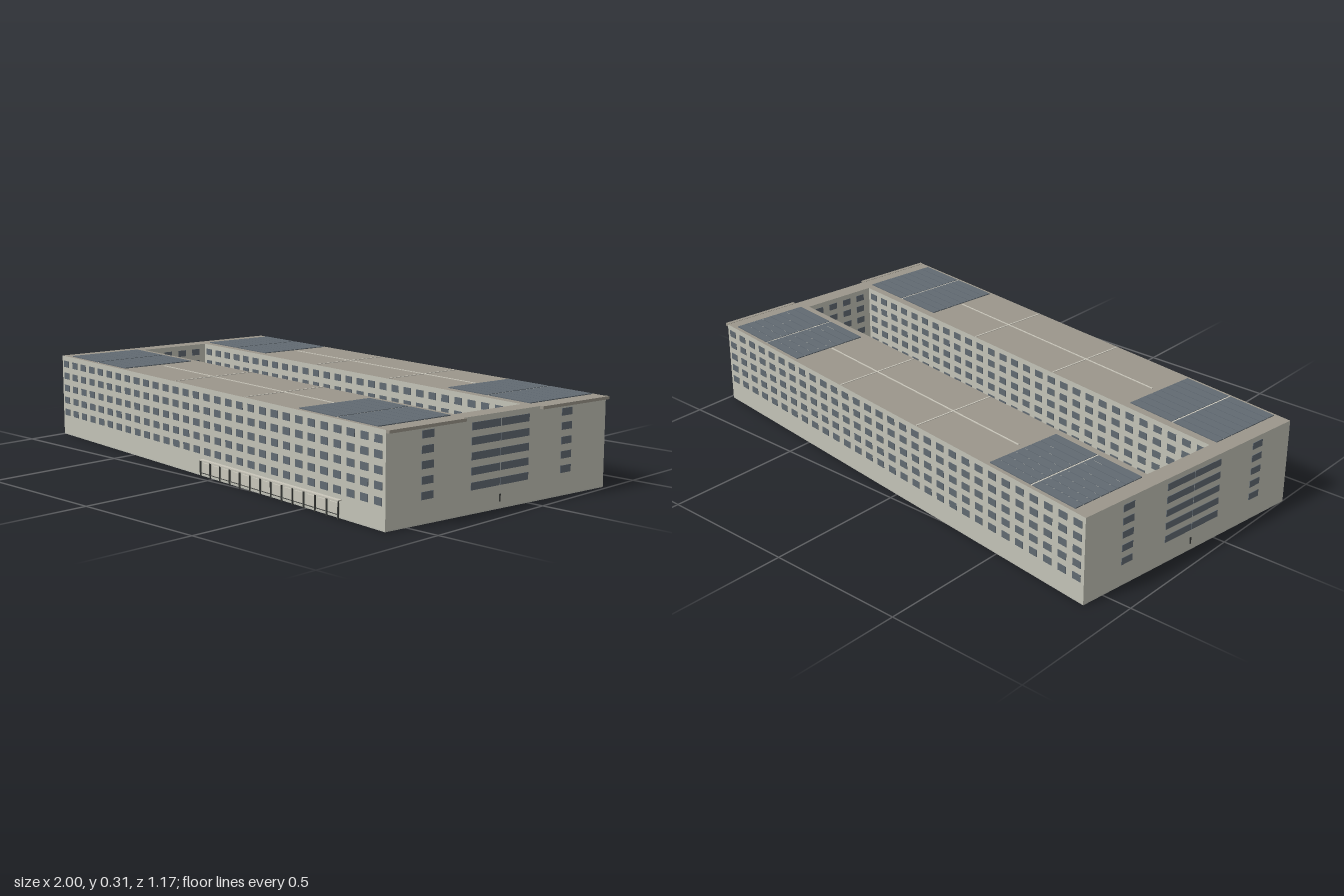
import * as THREE from 'three';
import { mergeGeometries } from 'three/addons/utils/BufferGeometryUtils.js';

const mat = (name, color) => {
  const m = new THREE.MeshStandardMaterial({ color });
  m.name = name;
  return m;
};

// Box given by its centre and size
const box = (x, y, z, w, h, d) => new THREE.BoxGeometry(w, h, d).translate(x, y, z);

export function createModel() {
  const wall = mat('wall', 0xc3c3b7);
  const roof = mat('roof', 0x9b968b);
  const glass = mat('glass', 0x616a72);
  const paving = mat('paving', 0xbcbdb3);
  const lawn = mat('lawn', 0x587d57);
  const leaf = mat('leaf', 0x4d6b4b);
  const trunk = mat('trunk', 0x5a4a3a);
  const dark = mat('dark metal', 0x3c3e3c);
  const trim = mat('light trim', 0xc9c6ba);

  const model = new THREE.Group();
  const site = new THREE.Group();
  site.name = 'officeBlock';
  site.rotation.y = -0.1247;
  site.position.x = -0.008;
  model.add(site);

  const add = (name, parts, material) => {
    const mesh = new THREE.Mesh(Array.isArray(parts) ? mergeGeometries(parts) : parts, material);
    mesh.name = name;
    site.add(mesh);
  };

  const U = 0.942, V = 0.468;      // half length and half depth of the block
  const CU = 0.88, CV = 0.143;     // half size of the courtyard
  const BASE = 0.004, TOP = 0.302;

  // Ring of walls around the courtyard, roof on the caps
  const rect = (target, u, v) => {
    target.moveTo(-u, -v);
    target.lineTo(u, -v);
    target.lineTo(u, v);
    target.lineTo(-u, v);
    target.closePath();
    return target;
  };
  const plan = rect(new THREE.Shape(), U, V);
  plan.holes.push(rect(new THREE.Path(), CU, CV));
  const ring = new THREE.ExtrudeGeometry(plan, { depth: TOP - BASE, bevelEnabled: false });
  ring.rotateX(-Math.PI / 2).translate(0, BASE, 0);
  add('building', ring, [roof, wall]);
  add('groundSlab', box(0, BASE / 2, 0, U * 2, BASE, V * 2), paving);

  // Windows, five storeys on every facade
  const rows = [0.087, 0.1335, 0.18, 0.2265, 0.272];
  const H = 0.024, T = 0.004;
  const panes = [];
  for (const y of rows) {
    for (const s of [-1, 1]) {
      for (let i = 0; i < 30; i++) {
        const u = -0.911 + i * 0.0628;
        panes.push(box(u, y, s * V, 0.035, H, T));
        if (i > 0 && i < 29) panes.push(box(u, y, s * CV, 0.035, H, T));
      }
      // End walls: a wide central ribbon with a stair window either side
      for (const k of [-1, 1]) {
        panes.push(box(s * U, y, 0.006 + k * 0.062, T, H, 0.121));
        panes.push(box(s * U, y, 0.01 + k * 0.296, T, H, 0.047));
      }
      for (let j = 0; j < 4; j++) panes.push(box(s * CU, y, (j - 1.5) * 0.065, T, H, 0.035));
    }
  }
  add('windows', panes, glass);

  // Narrow doors in the end walls
  add('endDoors', [-1, 1].map((s) => box(s * U, 0.035, 0.005, T, 0.024, 0.006)), dark);

  // Solar arrays: two banks of eight rows on each roof corner
  const cells = [];
  for (const s of [-1, 1]) {
    for (const u0 of [-0.885, -0.693, 0.517, 0.709]) {
      for (let r = 0; r < 8; r++) {
        cells.push(box(u0 + 0.0925, TOP + 0.002, s * 0.313 + (r - 3.5) * 0.0357, 0.185, 0.003, 0.0335));
      }
    }
  }
  add('solarPanels', cells, glass);

  // Light gaps between the banks, and seams across the open roof
  const seams = [];
  for (const s of [-1, 1]) {
    for (const u of [-0.6965, 0.7055]) seams.push(box(u, TOP + 0.001, s * 0.313, 0.007, 0.002, 0.284));
    for (const u0 of [-0.885, -0.693, 0.517, 0.709]) {
      for (let r = 1; r < 8; r++) {
        seams.push(box(u0 + 0.0925, TOP + 0.001, s * 0.313 + (r - 4) * 0.0357, 0.185, 0.002, 0.002));
      }
    }
    seams.push(box(0.015, TOP + 0.001, s * 0.308, 0.99, 0.002, 0.005));
    for (const u of [-0.162, 0.245]) seams.push(box(u, TOP + 0.001, s * 0.305, 0.005, 0.002, 0.32));
  }
  add('roofSeams', seams, trim);

  // Eaves over the wings at one end
  add('eaves', [-1, 1].map((s) => box(U + 0.007, 0.298, s * 0.316, 0.015, 0.01, 0.304)), roof);

  // Courtyard lawns and two rows of round trees
  add('lawns', [-1, 1].map((s) => box(-0.01 + s * 0.441, 0.006, 0, 0.813, 0.005, 0.216)), lawn);
  const crowns = [], trunks = [];
  for (const u0 of [-0.645, 0.225]) {
    for (let i = 0; i < 5; i++) {
      const u = u0 + i * 0.1025;
      crowns.push(new THREE.SphereGeometry(0.025, 16, 12).translate(u, 0.06, 0));
      trunks.push(new THREE.CylinderGeometry(0.004, 0.005, 0.045, 8).translate(u, 0.0225, 0));
    }
  }
  add('treeCrowns', crowns, leaf);
  add('treeTrunks', trunks, trunk);

  // Entrance canopy along the front: light screens in a dark frame
  const frame = [], screens = [];
  const start = 0.005, bays = 13, pitch = 0.0565, zc = V + 0.007;
  for (let i = 0; i <= bays; i++) {
    frame.push(box(start + i * pitch, 0.029, zc + 0.004, 0.004, 0.058, 0.004));
    if (i < bays) screens.push(box(start + (i + 0.5) * pitch, 0.03, V + 0.004, pitch - 0.014, 0.036, 0.006));
  }
  const mid = start + bays * pitch / 2;
  frame.push(box(mid, 0.014, zc + 0.004, bays * pitch, 0.002, 0.002));
  add('canopyFrame', frame, dark);
  add('canopyScreens', screens, trim);
  add('canopyRoof', box(mid, 0.057, zc, bays * pitch + 0.004, 0.004, 0.014), trim);

  return model;
}
